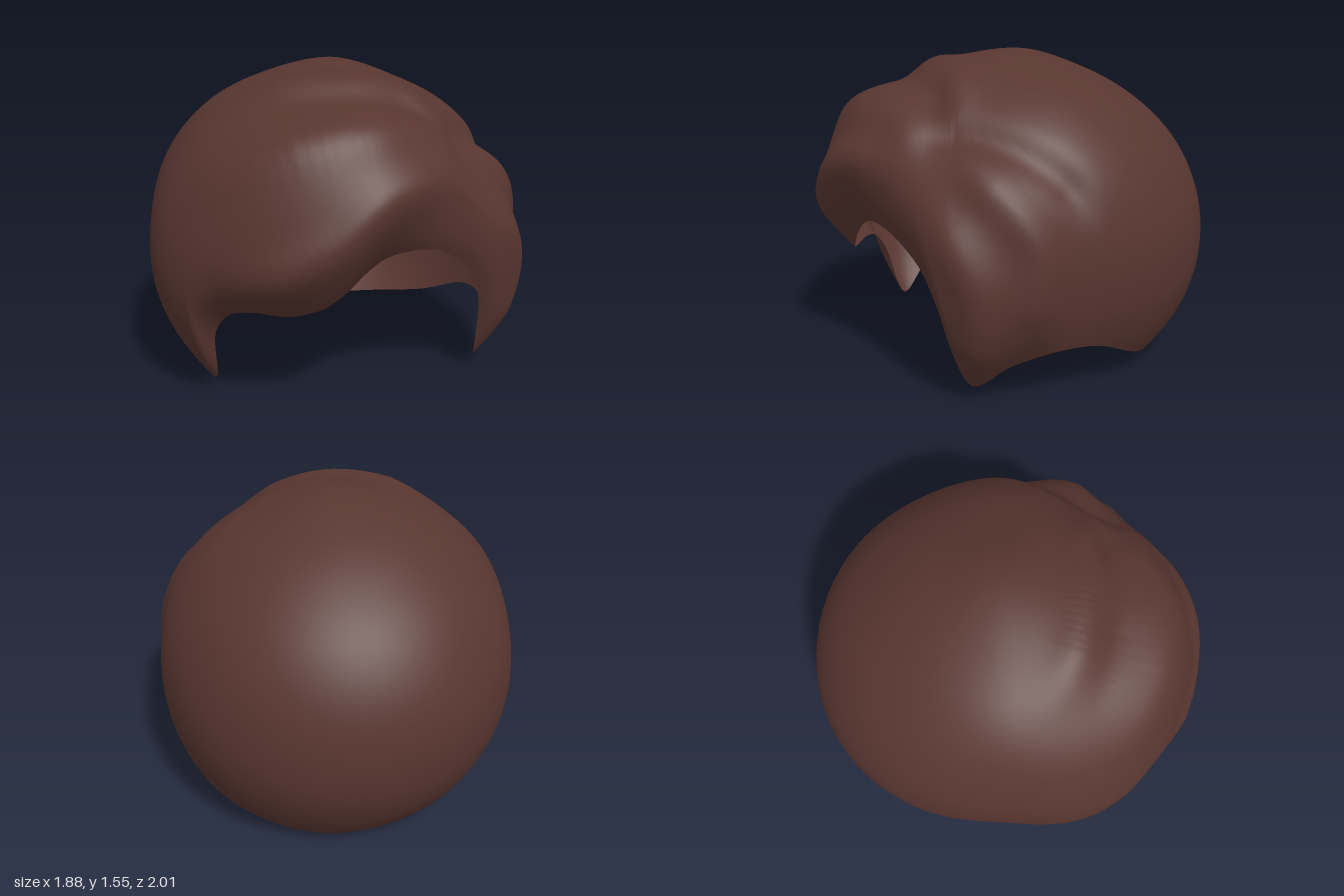
import * as THREE from 'three';

const V = (p) => new THREE.Vector3(...p);
const CENTRE = V([0, 0.6, 0]);
const DEG = Math.PI / 180;

// Head radius by polar angle (0 to 140 degrees, step 20), one row per 30 degrees
// of azimuth, starting at the front and turning towards +x
const RADII = [
  [0.95, 0.955, 1.01, 1.05, 0.98, 0.92, 0.9, 0.9],
  [0.95, 0.945, 0.95, 0.95, 0.93, 0.9, 0.88, 0.86],
  [0.95, 0.93, 0.93, 0.95, 0.97, 0.97, 0.95, 0.92],
  [0.95, 0.915, 0.93, 0.935, 0.905, 0.89, 0.875, 0.86],
  [0.95, 0.915, 0.92, 0.93, 0.925, 0.915, 0.91, 0.9],
  [0.95, 0.92, 0.93, 0.955, 0.968, 0.965, 0.945, 0.92],
  [0.95, 0.925, 0.935, 0.97, 0.99, 0.995, 0.96, 0.92],
  [0.95, 0.93, 0.94, 0.975, 0.995, 0.985, 0.95, 0.92],
  [0.95, 0.935, 0.95, 0.97, 0.97, 0.95, 0.92, 0.9],
  [0.95, 0.945, 0.965, 0.965, 0.94, 0.915, 0.885, 0.86],
  [0.95, 0.95, 0.975, 1.01, 1.02, 1.0, 0.97, 0.95],
  [0.95, 0.955, 1.005, 1.05, 1.02, 0.96, 0.92, 0.9],
];

// Lower edge: fringe from right to left, then sideburn, ear and nape (mirrored)
const FRINGE = [
  [-0.66, 0.35, 0.56], [-0.6, 0.46, 0.63], [-0.5, 0.49, 0.7], [-0.35, 0.49, 0.78],
  [-0.2, 0.53, 0.82], [-0.1, 0.6, 0.83], [0, 0.69, 0.82], [0.1, 0.745, 0.8],
  [0.3, 0.755, 0.76], [0.45, 0.69, 0.7], [0.55, 0.6, 0.65], [0.62, 0.42, 0.59],
];
const SIDE = [
  [0.66, 0.07, 0.46], [0.77, 0.19, 0.3], [0.82, 0.25, 0.1], [0.8, 0.24, -0.1],
  [0.65, 0.1, -0.4], [0.38, 0.03, -0.62],
];
const RIM = [
  ...FRINGE, ...SIDE, [0, 0, -0.72],
  ...SIDE.slice().reverse().map(([x, y, z]) => [-x, y, z]),
];

// Raised locks and grooves running over the head: height, width, path
const LOCKS = [
  // fringe lip
  { h: 0.05, w: 0.11, path: [[-0.75, 0.5, 0.6], [-0.45, 0.66, 0.82], [-0.13, 0.86, 0.98], [0.1, 1.02, 0.92], [0.3, 1.07, 0.8], [0.5, 0.95, 0.66]] },
  // broad wave above it and the groove behind
  { h: 0.045, w: 0.14, path: [[-0.75, 1.0, 0.5], [-0.4, 1.2, 0.72], [0, 1.33, 0.81], [0.25, 1.3, 0.72], [0.4, 1.15, 0.66], [0.48, 0.95, 0.65]] },
  { h: -0.022, w: 0.08, path: [[-0.55, 1.28, 0.4], [-0.2, 1.42, 0.55], [0.05, 1.43, 0.58], [0.3, 1.35, 0.52], [0.47, 1.15, 0.55]] },
  // crown wave
  { h: 0.03, w: 0.1, path: [[-0.55, 1.35, 0.2], [-0.3, 1.46, 0.33], [0.05, 1.52, 0.4], [0.3, 1.42, 0.4], [0.5, 1.22, 0.47]] },
  // parting and the side locks in front of it
  { h: -0.035, w: 0.09, path: [[0.42, 1.15, 0.62], [0.55, 1.2, 0.42], [0.8, 1.05, 0.1], [0.88, 0.85, -0.05]] },
  { h: 0.035, w: 0.1, path: [[0.6, 1.1, 0.5], [0.75, 1.0, 0.38], [0.92, 0.75, 0.22], [0.9, 0.5, 0.22], [0.85, 0.3, 0.2]] },
  { h: 0.04, w: 0.11, path: [[0.5, 1.0, 0.65], [0.74, 0.78, 0.58], [0.86, 0.55, 0.5], [0.8, 0.3, 0.48], [0.7, 0.1, 0.46]] },
].map(({ h, w, path }) => ({
  h, w,
  points: new THREE.CatmullRomCurve3(path.map(V)).getPoints(40)
    .map((p) => p.sub(CENTRE).normalize()),
}));

function cubic(a, b, c, d, t) {
  return b + 0.5 * t * (c - a + t * (2 * a - 5 * b + 4 * c - d + t * (3 * (b - c) + d - a)));
}

function alongRow(row, theta) {
  const f = Math.min(theta / (20 * DEG), 6.999);
  const i = Math.floor(f);
  const at = (k) => row[Math.min(Math.abs(k), 7)];
  return cubic(at(i - 1), at(i), at(i + 1), at(i + 2), f - i);
}

function direction(azimuth, theta) {
  return new THREE.Vector3().setFromSphericalCoords(1, theta, azimuth);
}

function radius(azimuth, theta) {
  const f = (azimuth / (30 * DEG) + 24) % 12;
  const i = Math.floor(f);
  const at = (k) => alongRow(RADII[(k + 12) % 12], theta);
  let r = cubic(at(i - 1), at(i), at(i + 1), at(i + 2), f - i);
  const dir = direction(azimuth, theta);
  for (const { h, w, points } of LOCKS) {
    // Locks fade out at both ends
    let rise = 0;
    points.forEach((p, k) => {
      const taper = Math.min(1, k / 10, (points.length - 1 - k) / 10);
      rise = Math.max(rise, taper * Math.exp(-p.distanceToSquared(dir) / (w * w)));
    });
    r += h * rise;
  }
  return r;
}

function hairGeometry(rows = 56, perPoint = 7) {
  const cols = RIM.length * perPoint;
  const curve = new THREE.CatmullRomCurve3(RIM.map(V), true, 'centripetal');
  const positions = [...direction(0, 0).multiplyScalar(radius(0, 0)).add(CENTRE).toArray()];
  const index = [];
  const id = (i, j) => (i === 0 ? 0 : 1 + (i - 1) * cols + (j % cols));

  // Each column runs from the crown down to its point on the edge
  const edge = [];
  for (let j = 0; j < cols; j++) {
    const p = curve.getPoint(j / cols).sub(CENTRE);
    const azimuth = Math.atan2(p.x, p.z);
    const theta = Math.acos(p.y / p.length());
    edge.push({ azimuth, theta, tuck: p.length() - radius(azimuth, theta) });
  }
  for (let i = 1; i <= rows; i++) {
    edge.forEach(({ azimuth, theta, tuck }) => {
      const t = (theta * i) / rows;
      // The last 20 degrees curl in to meet the edge
      const s = Math.max(0, 1 - (theta - t) / (20 * DEG));
      const r = radius(azimuth, t) + tuck * s * s;
      positions.push(...direction(azimuth, t).multiplyScalar(r).add(CENTRE).toArray());
    });
  }
  for (let i = 0; i < rows; i++) {
    for (let j = 0; j < cols; j++) {
      const a = id(i, j), b = id(i + 1, j), c = id(i + 1, j + 1), d = id(i, j + 1);
      index.push(a, b, c);
      if (i > 0) index.push(a, c, d);
    }
  }
  const geometry = new THREE.BufferGeometry();
  geometry.setAttribute('position', new THREE.Float32BufferAttribute(positions, 3));
  geometry.setIndex(index);
  geometry.computeVertexNormals();
  return geometry;
}

export function createModel() {
  const brown = new THREE.MeshStandardMaterial({ color: 0x593630, side: THREE.DoubleSide });
  brown.name = 'dark brown';
  const hair = new THREE.Mesh(hairGeometry(), brown);
  hair.name = 'hair';
  const group = new THREE.Group();
  group.name = 'hairpiece';
  group.add(hair);
  return group;
}
